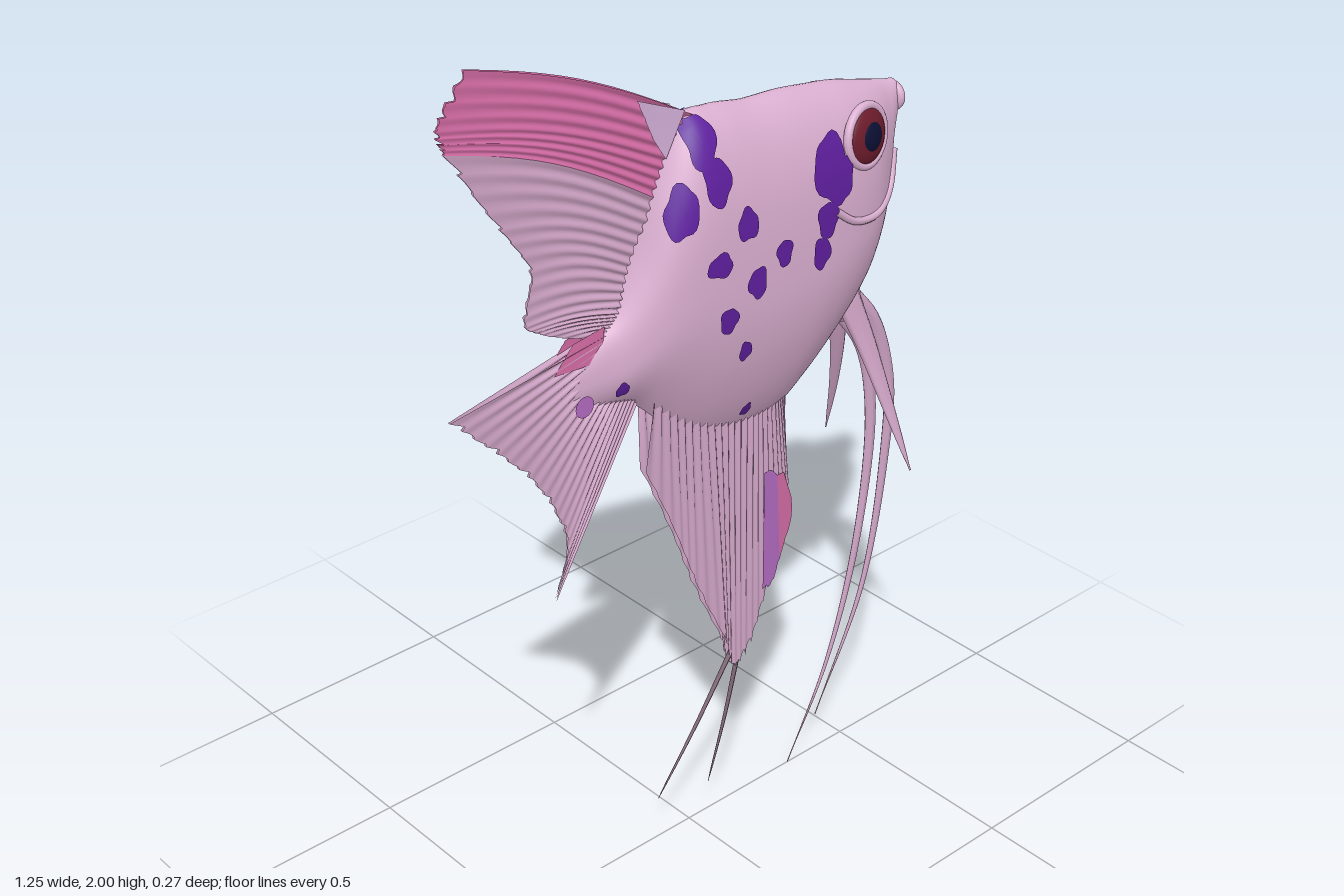
import * as THREE from 'three';

const mat = (name, color) => new THREE.MeshStandardMaterial({ name, color, side: THREE.DoubleSide });
const M = {
  skin: mat('skin pink', 0xdcb0d2), fin: mat('fin pink', 0xd2a6c8), rose: mat('rose', 0xd86ea8),
  purple: mat('spot purple', 0x5f1f9e), violet: mat('violet', 0xb56cc2), lilac: mat('lilac', 0xd6b2dc),
  iris: mat('iris red', 0x6e1c2c), pupil: mat('pupil navy', 0x0c1034), thread: mat('thread grey pink', 0x7d6474),
};

// Body stations: x, top, bottom, half width
const ST = [
  [-0.32, 1.30, 1.22, 0.008], [-0.25, 1.36, 1.195, 0.028], [-0.2, 1.41, 1.185, 0.05],
  [-0.15, 1.51, 1.165, 0.072], [-0.1, 1.65, 1.12, 0.09], [-0.03, 1.765, 1.06, 0.103],
  [0.05, 1.775, 1.02, 0.11], [0.15, 1.76, 1.0, 0.114], [0.25, 1.755, 1.01, 0.114],
  [0.33, 1.745, 1.06, 0.112], [0.4, 1.735, 1.12, 0.106], [0.46, 1.72, 1.18, 0.093],
  [0.5, 1.71, 1.23, 0.075], [0.54, 1.70, 1.32, 0.05], [0.56, 1.695, 1.48, 0.035],
  [0.585, 1.69, 1.6, 0.02], [0.595, 1.675, 1.63, 0.008],
];

// Smooth interpolation of the stations at x
function section(x) {
  let i = 0;
  while (i < ST.length - 2 && x > ST[i + 1][0]) i++;
  const a = ST[i], b = ST[i + 1], p = ST[Math.max(i - 1, 0)], n = ST[Math.min(i + 2, ST.length - 1)];
  const d = b[0] - a[0], t = THREE.MathUtils.clamp((x - a[0]) / d, 0, 1), t2 = t * t, t3 = t2 * t;
  return [1, 2, 3].map((k) => {
    const m0 = (b[k] - p[k]) / (b[0] - p[0]) * d, m1 = (n[k] - a[k]) / (n[0] - a[0]) * d;
    return (2 * t3 - 3 * t2 + 1) * a[k] + (t3 - 2 * t2 + t) * m0 + (3 * t2 - 2 * t3) * b[k] + (t3 - t2) * m1;
  });
}
// Rounded back, keeled belly
const flank = (t) => (t > 0 ? Math.pow(Math.max(0, 1 - t ** 3), 0.6) : Math.pow(Math.max(0, 1 - t * t), 0.9));
function sideZ(x, y) {
  const [top, bot, w] = section(x);
  return w * flank(THREE.MathUtils.clamp((y - (top + bot) / 2) / ((top - bot) / 2), -1, 1));
}
// Point on the left flank lifted off the skin, with its normal
function onSkin(x, y, lift = 0) {
  const e = 0.006, z = sideZ(x, y);
  const n = new THREE.Vector3(-(sideZ(x + e, y) - sideZ(x - e, y)) / (2 * e),
    -(sideZ(x, y + e) - sideZ(x, y - e)) / (2 * e), 1).normalize();
  return { p: new THREE.Vector3(x, y, z).addScaledVector(n, lift), n };
}

// Surface grid from fn(u, v) -> [x, y, z]
function grid(nu, nv, fn) {
  const pos = [], idx = [];
  for (let i = 0; i <= nu; i++) for (let j = 0; j <= nv; j++) pos.push(...fn(i / nu, j / nv));
  for (let i = 0; i < nu; i++) for (let j = 0; j < nv; j++) {
    const a = i * (nv + 1) + j, b = a + nv + 1;
    idx.push(a, b, b + 1, a, b + 1, a + 1);
  }
  const g = new THREE.BufferGeometry();
  g.setAttribute('position', new THREE.Float32BufferAttribute(pos, 3));
  g.setIndex(idx);
  g.computeVertexNormals();
  return g;
}
const curve = (pts) => new THREE.CatmullRomCurve3(pts.map(([x, y, z = 0]) => new THREE.Vector3(x, y, z)), false, 'centripetal');

export function createModel() {
  const model = new THREE.Group();
  const add = (name, geo, material, parent = model) => {
    const m = new THREE.Mesh(geo, material);
    m.name = name;
    parent.add(m);
    return m;
  };

  // Body
  add('body', grid(110, 72, (u, v) => {
    const x = THREE.MathUtils.lerp(-0.32, 0.595, 1 - (1 - u) ** 1.35), [top, bot, w] = section(x);
    const a = -Math.PI / 2 + v * 2 * Math.PI, t = Math.sin(a);
    return [x, (top + bot) / 2 + t * (top - bot) / 2, w * flank(t) * (v < 0.5 ? 1 : -1)];
  }), M.skin);

  // Ribbed fin ruled from a base curve to a frayed tip curve
  function fin(name, base, tip, material, { rays = 14, t0 = 0.012, t1 = 0.002, jag = 0.04, bow = [0, 0], rib = 0.35 } = {}) {
    const B = curve(base), T = curve(tip), g = new THREE.Group();
    g.name = name;
    for (const s of [1, -1]) {
      add('fin side', grid(rays * 6, 12, (u, v) => {
        const b = B.getPoint(u), t = T.getPoint(u);
        const fray = 1 - jag * ((u * rays) % 1) * (0.6 + 0.4 * Math.sin(u * 37));
        b.lerp(t, v * fray);
        const th = (t0 + (t1 - t0) * v) * (1 + rib * Math.cos(u * rays * 2 * Math.PI));
        return [b.x, b.y + Math.sin(v * Math.PI) * THREE.MathUtils.lerp(bow[0], bow[1], u), s * th];
      }), material, g);
    }
    model.add(g);
  }
  fin('dorsalFinBand', [[0.0, 1.77], [-0.07, 1.7], [-0.1, 1.62]], [[-0.545, 2.0], [-0.615, 1.9], [-0.6, 1.85]],
    M.rose, { rays: 8, bow: [0.025, 0.03] });
  fin('dorsalFin', [[-0.1, 1.62], [-0.17, 1.5], [-0.2, 1.4], [-0.21, 1.36]],
    [[-0.6, 1.85], [-0.49, 1.68], [-0.41, 1.55], [-0.43, 1.445], [-0.385, 1.41], [-0.27, 1.36]], M.fin, { rays: 18, bow: [0.03, 0] });
  fin('dorsalFinRoot', [[-0.03, 1.79], [-0.08, 1.7]], [[-0.15, 1.84], [-0.11, 1.75]], M.lilac,
    { rays: 3, t0: 0.022, t1: 0.018, rib: 0 });
  fin('tailFin', [[-0.2, 1.37], [-0.2, 1.28], [-0.16, 1.18]],
    [[-0.62, 1.3], [-0.52, 1.2], [-0.43, 1.1], [-0.37, 1.0], [-0.34, 0.9], [-0.375, 0.78]], M.fin, { rays: 18, t0: 0.014 });
  fin('tailRosePatch', [[-0.24, 1.385], [-0.25, 1.31]], [[-0.32, 1.37], [-0.37, 1.315]], M.rose,
    { rays: 3, t0: 0.016, t1: 0.012, rib: 0 });
  fin('analFin', [[-0.12, 1.17], [-0.02, 1.12], [0.08, 1.08], [0.17, 1.06], [0.23, 1.06], [0.26, 1.08]],
    [[-0.13, 1.0], [-0.04, 0.8], [0.02, 0.64], [0.105, 0.46], [0.13, 0.38], [0.17, 0.4], [0.22, 0.52], [0.27, 0.63], [0.293, 0.76], [0.275, 0.95]],
    M.fin, { rays: 24, t0: 0.022, t1: 0.008, rib: 0.2 });
  fin('analFinVioletPatch', [[0.205, 0.87], [0.225, 0.87], [0.245, 0.85]], [[0.21, 0.56], [0.235, 0.56], [0.262, 0.62]], M.violet,
    { rays: 3, t0: 0.021, t1: 0.017, rib: 0 });
  fin('analFinRosePatch', [[0.245, 0.85], [0.265, 0.85]], [[0.295, 0.77], [0.297, 0.72], [0.262, 0.62]].reverse(), M.rose,
    { rays: 3, t0: 0.021, t1: 0.017, rib: 0 });

  // Tapering strands: flattened tubes that narrow to a point
  function strand(name, pts, r, material, flat = 0.5, power = 0.8) {
    const c = curve(pts), seg = 48, rad = 8, g = new THREE.TubeGeometry(c, seg, 1, rad);
    const p = g.attributes.position;
    for (let i = 0; i <= seg; i++) {
      const o = c.getPointAt(i / seg), k = r * Math.max(0.08, (1 - i / seg) ** power);
      for (let j = 0; j <= rad; j++) {
        const n = i * (rad + 1) + j;
        p.setXYZ(n, o.x + (p.getX(n) - o.x) * k, o.y + (p.getY(n) - o.y) * k, o.z + (p.getZ(n) - o.z) * k * flat);
      }
    }
    g.computeVertexNormals();
    return add(name, g, material);
  }
  strand('longPelvicStrandLeft', [[0.46, 1.23, 0.01], [0.55, 1.12, 0.01], [0.605, 0.95, 0.01], [0.605, 0.78, 0.009], [0.55, 0.42, 0.006], [0.41, 0.1, 0]], 0.022, M.fin);
  strand('longPelvicStrandRight', [[0.44, 1.2, -0.01], [0.53, 1.07, -0.01], [0.57, 0.88, -0.01], [0.54, 0.55, -0.008], [0.45, 0.24, -0.005], [0.32, 0.003, 0]], 0.022, M.fin);
  for (const s of [1, -1]) {
    strand(s > 0 ? 'shortPelvicFinLeft' : 'shortPelvicFinRight',
      [[0.45, 1.22, s * 0.02], [0.49, 1.1, s * 0.045], [0.525, 0.95, s * 0.085], [0.555, 0.79, s * 0.136]], 0.034, M.fin, 0.2, 0.7);
  }
  strand('analThreadRear', [[0.13, 0.42], [0.02, 0.26], [-0.095, 0.11]], 0.006, M.thread, 1, 0.5);
  strand('analThreadFront', [[0.155, 0.42], [0.11, 0.24], [0.06, 0.08]], 0.006, M.thread, 1, 0.5);
  const root = add('pelvicRoot', new THREE.SphereGeometry(1, 20, 14), M.skin);
  root.scale.set(0.05, 0.05, 0.03);
  root.position.set(0.455, 1.205, 0);

  // Spots: x, y, x radius, y radius, tilt
  const spots = [
    [-0.015, 1.725, 0.03, 0.05, 0.3], [-0.002, 1.65, 0.032, 0.05, 0], [-0.08, 1.6, 0.027, 0.055, 0.3],
    [0.063, 1.545, 0.027, 0.035, 0], [-0.01, 1.475, 0.031, 0.027, 0], [0.087, 1.41, 0.025, 0.035, 0],
    [0.16, 1.455, 0.022, 0.03, 0], [0.015, 1.345, 0.023, 0.03, 0], [0.068, 1.255, 0.016, 0.024, 0],
    [-0.212, 1.24, 0.014, 0.018, 0], [0.122, 1.075, 0.013, 0.018, 0],
    [0.305, 1.59, 0.05, 0.075, -0.1], [0.335, 1.57, 0.03, 0.045, 0], [0.285, 1.49, 0.03, 0.04, 0], [0.268, 1.42, 0.025, 0.036, 0],
  ];
  for (const s of [1, -1]) {
    const side = s > 0 ? 'Left' : 'Right';
    spots.forEach(([x, y, rx, ry, tilt], k) => add('spot' + side, grid(6, 28, (u, v) => {
      const a = s * v * 2 * Math.PI, r = u * (1 + 0.1 * Math.sin(3 * a * s + k) + 0.06 * Math.sin(5 * a * s + 2 * k));
      const dx = rx * r * Math.cos(a), dy = ry * r * Math.sin(a), c = Math.cos(tilt), n = Math.sin(tilt);
      const { p } = onSkin(x + dx * c + dy * n, y - dx * n + dy * c, 0.003);
      return [p.x, p.y, s * p.z];
    }), M.purple));
    const tailSpot = add('tailSpot' + side, new THREE.CircleGeometry(0.024, 16), M.violet);
    tailSpot.position.set(-0.3, 1.225, s * 0.021);
    if (s < 0) tailSpot.rotation.y = Math.PI;

    // Eye, facing along the skin normal
    const { p, n } = onSkin(0.42, 1.63), eye = new THREE.Group();
    eye.name = 'eye' + side;
    eye.position.set(p.x, p.y, s * p.z);
    eye.lookAt(p.x + n.x, p.y + n.y * 0.4, s * (p.z + n.z));
    add('eyelid', new THREE.TorusGeometry(0.064, 0.01, 10, 36), M.skin, eye);
    add('iris', new THREE.SphereGeometry(1, 32, 20), M.iris, eye).scale.set(0.062, 0.062, 0.022);
    const pupil = add('pupil', new THREE.SphereGeometry(1, 28, 18), M.pupil, eye);
    pupil.scale.set(0.039, 0.039, 0.018);
    pupil.position.z = 0.008;
    model.add(eye);

    // Gill cover fold
    const fold = [[0.555, 1.55], [0.52, 1.475], [0.45, 1.448], [0.37, 1.46], [0.31, 1.5]]
      .map(([x, y]) => [x, y, s * sideZ(x, y)]);
    add('gillFold' + side, new THREE.TubeGeometry(curve(fold), 40, 0.009, 8), M.skin);
  }

  // Lips and mouth
  const lips = add('lips', new THREE.TorusGeometry(0.023, 0.011, 10, 28), M.skin);
  lips.rotation.y = Math.PI / 2;
  lips.position.set(0.585, 1.652, 0);
  const mouth = add('mouth', new THREE.SphereGeometry(0.018, 16, 12), M.rose);
  mouth.position.set(0.577, 1.65, 0);
  return model;
}
